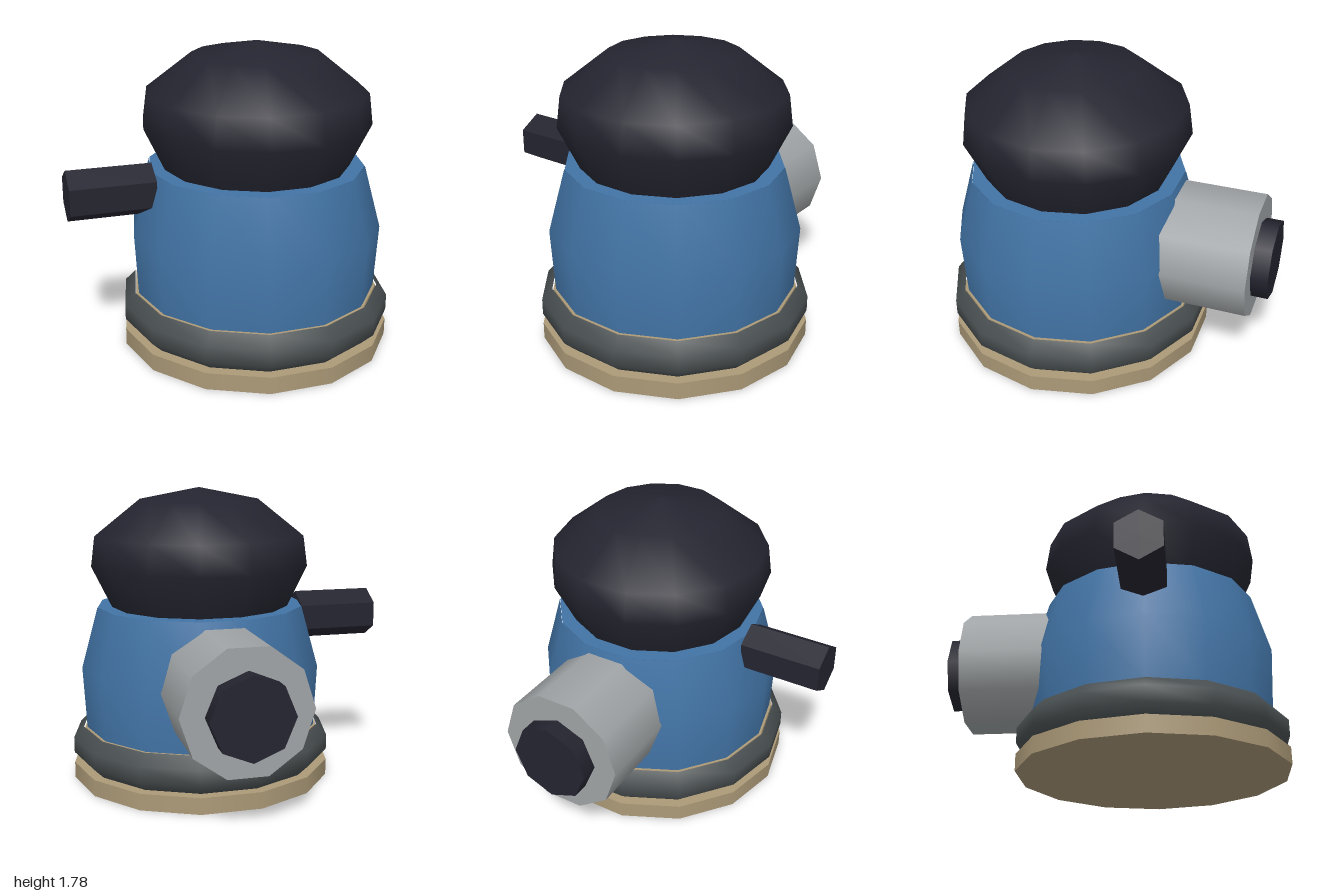
import * as THREE from 'three';

const X = 0.155, Z = 0.215; // axis of the round body
const SIDES = 14;

function material(name, color, flatShading = false) {
  const m = new THREE.MeshStandardMaterial({ color });
  m.name = name;
  m.flatShading = flatShading;
  return m;
}

export function createModel() {
  const group = new THREE.Group();
  const tan = material('tan', 0xac9a78);
  const charcoal = material('charcoal', 0x484e50);
  const blue = material('blue', 0x4274a6);
  const black = material('nearBlack', 0x242430);
  const grey = material('grey', 0xa0a4a6);

  function add(name, geometry, mat, x, y, z) {
    const mesh = new THREE.Mesh(geometry, mat);
    mesh.name = name;
    mesh.position.set(x, y, z);
    group.add(mesh);
    return mesh;
  }

  // Upright parts, turned so that a corner points along x
  const disc = (name, mat, r, y0, y1) =>
    add(name, new THREE.CylinderGeometry(r, r, y1 - y0, SIDES).rotateY(Math.PI / 2), mat, X, (y0 + y1) / 2, Z);
  const turned = (name, mat, profile) =>
    add(name, new THREE.LatheGeometry(profile.map(([r, y]) => new THREE.Vector2(r, y)), SIDES)
      .rotateY(Math.PI / 2), mat, X, 0, Z);

  // Foot and bevelled ring
  disc('foot', tan, 0.805, 0, 0.1);
  disc('footCore', tan, 0.735, 0.1, 0.322);
  turned('ring', charcoal, [[0.74, 0.1], [0.805, 0.165], [0.805, 0.26], [0.742, 0.325]]);

  // Body with a flat shoulder
  turned('body', blue, [[0.72, 0.32], [0.74, 0.7], [0.637, 1.07]]);
  disc('shoulder', blue, 0.635, 1.06, 1.07);

  // Domed cap
  turned('cap', black, [[0.545, 1.065], [0.667, 1.32], [0.643, 1.5], [0.375, 1.71], [0, 1.785]]);

  // Rear pipe with a plug, corners along x
  const rear = (name, mat, r, sides, z0, z1, y) =>
    add(name, new THREE.CylinderGeometry(r, r, z1 - z0, sides).rotateY(Math.PI / 2).rotateX(Math.PI / 2),
      mat, X, y, (z0 + z1) / 2);
  rear('rearPipe', grey, 0.37, 10, -0.9, -0.25, 0.675);
  rear('rearPlug', black, 0.234, 8, -1, -0.88, 0.671);

  // Hexagonal side handle, corners up and down
  add('sideHandle', new THREE.CylinderGeometry(0.15, 0.15, 0.49, 6).rotateY(Math.PI / 2).rotateZ(Math.PI / 2),
    material('nearBlackFaceted', 0x242430, true), -0.715, 0.97, 0.21);

  return group;
}
